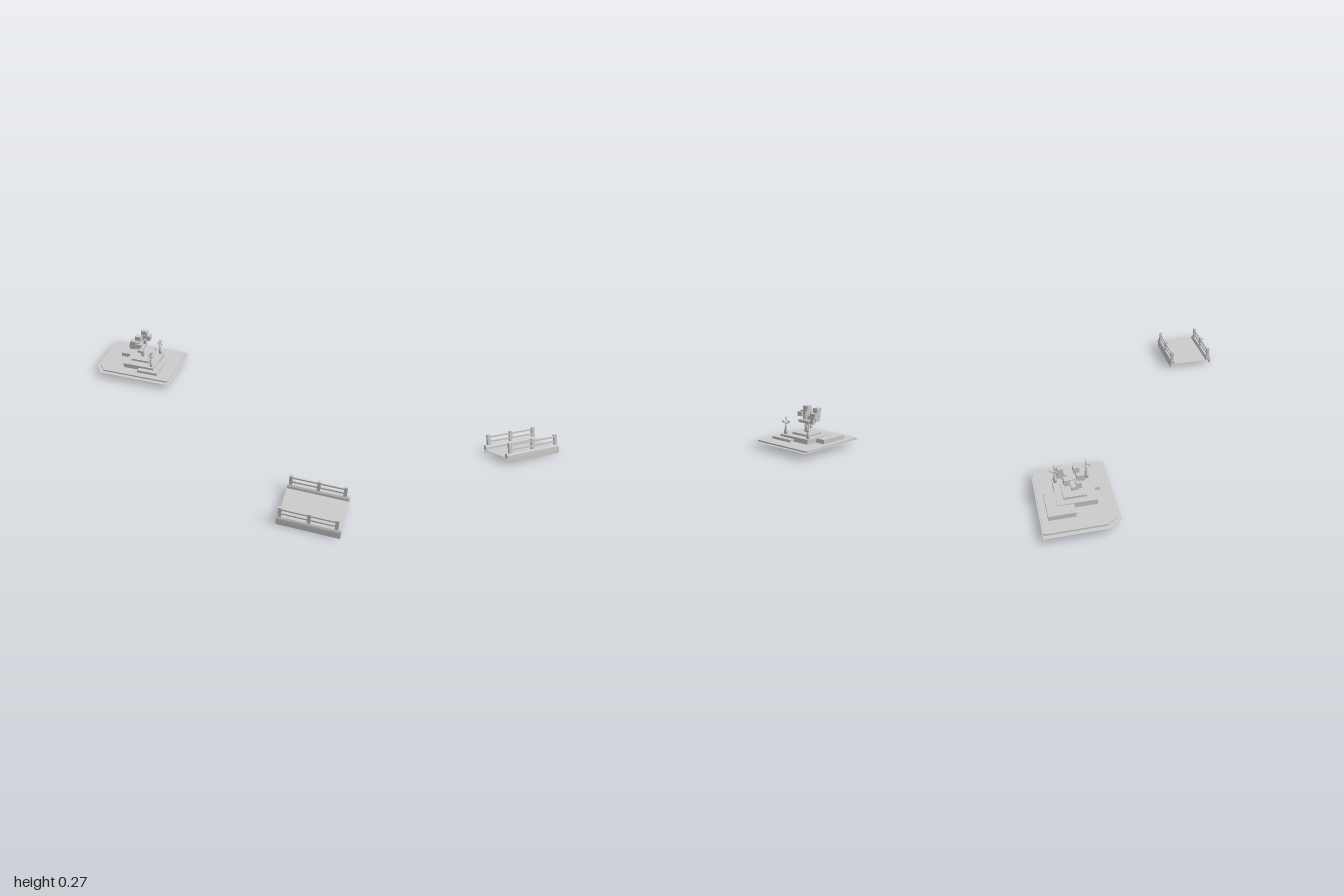
import * as THREE from 'three';

const mat = new THREE.MeshStandardMaterial({ color: 0xcccccc, flatShading: true, side: THREE.DoubleSide });
const smooth = new THREE.MeshStandardMaterial({ color: 0xcccccc, side: THREE.DoubleSide });

function add(parent, name, geo, m = mat) {
  const mesh = new THREE.Mesh(geo, m);
  mesh.name = name;
  parent.add(mesh);
  return mesh;
}

// Box given by its lower and upper limits on each axis
function box(parent, name, [x0, x1], [y0, y1], [z0, z1]) {
  const mesh = add(parent, name, new THREE.BoxGeometry(x1 - x0, y1 - y0, z1 - z0));
  mesh.position.set((x0 + x1) / 2, (y0 + y1) / 2, (z0 + z1) / 2);
  return mesh;
}

// Flat outline with one cut corner and softened other corners; shape y is -z
function plotShape(x0, x1, z0, z1, cutX, cutZ, r) {
  const s = new THREE.Shape();
  s.moveTo(x0 + cutX, -z1);
  s.lineTo(x1 - r, -z1);
  s.lineTo(x1, -z1 + r);
  s.lineTo(x1, -z0 - r);
  s.lineTo(x1 - r, -z0);
  s.lineTo(x0 + r, -z0);
  s.lineTo(x0, -z0 - r);
  s.lineTo(x0, -z1 + cutZ);
  s.closePath();
  return s;
}

function createPlot() {
  const g = new THREE.Group();
  g.name = 'gardenPlot';

  // Thin surround and raised paving
  const surround = add(g, 'surround', new THREE.ShapeGeometry(plotShape(-1, -0.41, -0.74, -0.3, 0.06, 0.08, 0.001)));
  surround.rotation.x = -Math.PI / 2;
  surround.position.y = 0.04;
  const paving = add(g, 'paving', new THREE.ExtrudeGeometry(
    plotShape(-0.975, -0.43, -0.733, -0.324, 0.05, 0.06, 0.01), { depth: 0.01, bevelEnabled: false }));
  paving.rotation.x = -Math.PI / 2;
  paving.position.y = 0.041;

  // Overlapping terraces and the planter
  box(g, 'backTerrace', [-0.875, -0.66], [0.05, 0.079], [-0.695, -0.54]);
  box(g, 'mainTerrace', [-0.8, -0.57], [0.05, 0.083], [-0.632, -0.405]);
  box(g, 'frontStep', [-0.68, -0.53], [0.05, 0.068], [-0.52, -0.37]);
  box(g, 'planter', [-0.76, -0.627], [0.083, 0.097], [-0.592, -0.46]);

  g.add(createTree());
  for (const z of [-0.431, -0.615]) {
    const lamp = createLamp();
    lamp.position.set(-0.593, 0.083, z);
    g.add(lamp);
  }
  return g;
}

// Tree made of square trunk, branches and leaf blocks
function createTree() {
  const g = new THREE.Group();
  g.name = 'blockTree';
  box(g, 'trunk', [-0.705, -0.685], [0.095, 0.165], [-0.535, -0.515]);
  box(g, 'branch', [-0.71, -0.68], [0.157, 0.176], [-0.583, -0.465]);
  box(g, 'frontStem', [-0.725, -0.705], [0.17, 0.21], [-0.503, -0.483]);
  box(g, 'backStem', [-0.70, -0.68], [0.17, 0.21], [-0.583, -0.56]);
  const leaves = [
    [[-0.765, -0.69], [0.205, 0.24], [-0.512, -0.468]],
    [[-0.72, -0.675], [0.2, 0.23], [-0.49, -0.457]],
    [[-0.735, -0.69], [0.236, 0.272], [-0.525, -0.49]],
    [[-0.78, -0.72], [0.157, 0.178], [-0.548, -0.51]],
    [[-0.78, -0.735], [0.165, 0.2], [-0.52, -0.487]],
    [[-0.714, -0.655], [0.2, 0.237], [-0.615, -0.575]],
    [[-0.725, -0.68], [0.236, 0.27], [-0.612, -0.58]],
    [[-0.755, -0.715], [0.173, 0.21], [-0.583, -0.555]],
  ];
  leaves.forEach((l) => box(g, 'leafBlock', ...l));
  return g;
}

// Lamp: turned base, pole, arms with round globes and a hooked tip
function createLamp() {
  const g = new THREE.Group();
  g.name = 'lamp';
  const profile = [[0, 0], [0.01, 0], [0.01, 0.006], [0.012, 0.012], [0.013, 0.022], [0.009, 0.036],
    [0.005, 0.044], [0.007, 0.05], [0.004, 0.056], [0.003, 0.08], [0.002, 0.118], [0, 0.118]];
  add(g, 'post', new THREE.LatheGeometry(profile.map(([x, y]) => new THREE.Vector2(x, y)), 10), smooth);
  const reach = [[0.016, 0.006], [-0.016, -0.006], [0.004, 0.022], [-0.004, -0.022]];
  for (const [x, z] of reach) {
    const arm = new THREE.CatmullRomCurve3([
      new THREE.Vector3(0, 0.07, 0),
      new THREE.Vector3(x * 0.6, 0.073, z * 0.6),
      new THREE.Vector3(x, 0.084, z)]);
    add(g, 'arm', new THREE.TubeGeometry(arm, 6, 0.0018, 5), smooth);
    add(g, 'globe', new THREE.SphereGeometry(0.0075, 8, 6), smooth).position.set(x, 0.086, z);
  }
  const hook = new THREE.CatmullRomCurve3([
    new THREE.Vector3(0, 0.09, 0),
    new THREE.Vector3(0.008, 0.112, 0),
    new THREE.Vector3(0.02, 0.119, 0)]);
  add(g, 'hook', new THREE.TubeGeometry(hook, 6, 0.002, 5), smooth);
  return g;
}

function createBridge() {
  const g = new THREE.Group();
  g.name = 'bridge';
  const x0 = 0.632, x1 = 0.999;

  // Thin deck
  const deck = add(g, 'deck', new THREE.PlaneGeometry(x1 - x0, 0.275));
  deck.rotation.x = -Math.PI / 2;
  deck.position.set((x0 + x1) / 2, 0.031, 0.582);

  for (const side of [1, -1]) {
    const rail = new THREE.Group();
    rail.name = side > 0 ? 'frontParapet' : 'backParapet';
    rail.position.z = 0.582 + side * 0.138;

    // Tapered kerb
    const s = new THREE.Shape([[-0.016, 0.03], [0.016, 0.03], [0.015, 0.046], [0.01, 0.057], [-0.01, 0.057], [-0.015, 0.046]]
      .map(([x, y]) => new THREE.Vector2(x, y)));
    const kerb = add(rail, 'kerb', new THREE.ExtrudeGeometry(s, { depth: x1 - x0, bevelEnabled: false }));
    kerb.rotation.y = Math.PI / 2;
    kerb.position.x = x0;

    // Thin outer skirt
    const skirt = add(rail, 'skirt', new THREE.PlaneGeometry(x1 - x0, 0.032));
    skirt.position.set((x0 + x1) / 2, 0.016, side * 0.015);
    if (side < 0) skirt.rotation.y = Math.PI;

    // Posts and rails
    for (const x of [0.649, 0.815, 0.971]) {
      box(rail, 'post', [x - 0.01, x + 0.01], [0.055, 0.122], [-0.009, 0.009]);
    }
    for (const y of [0.077, 0.107]) {
      box(rail, 'rail', [0.655, 0.965], [y - 0.005, y + 0.005], [-0.005, 0.005]);
    }
    g.add(rail);
  }
  return g;
}

export function createModel() {
  const model = new THREE.Group();
  model.name = 'gardenAndBridge';
  model.add(createPlot(), createBridge());
  return model;
}
